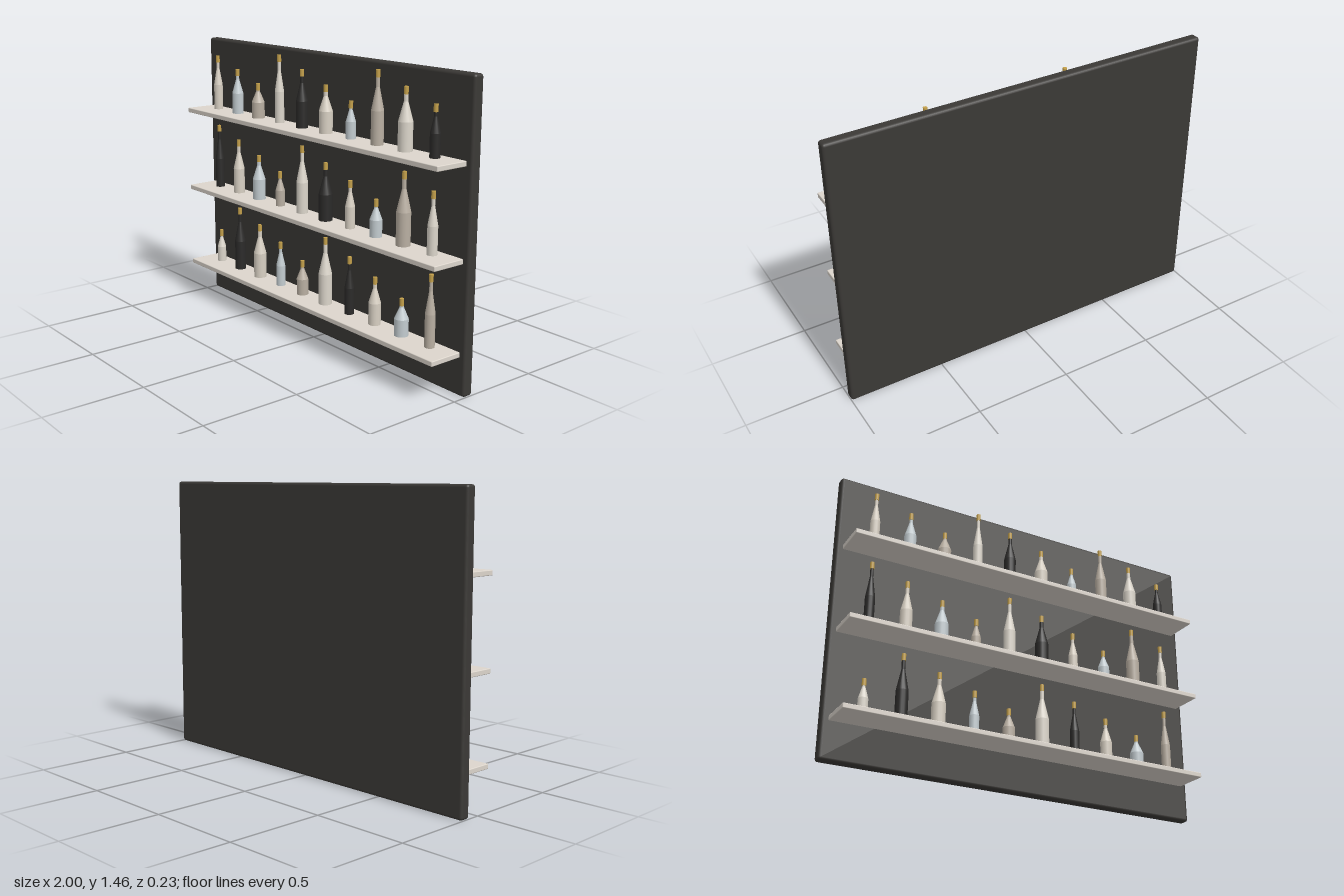
import * as THREE from 'three';
import { RoundedBoxGeometry } from 'three/addons/geometries/RoundedBoxGeometry.js';

const paint = (color) => new THREE.MeshStandardMaterial({ color });

function roundedBox(name, size, radius, position, material) {
  const mesh = new THREE.Mesh(new RoundedBoxGeometry(...size, 2, radius), material);
  mesh.name = name;
  mesh.position.set(...position);
  return mesh;
}

// Straight body, sloping shoulder, slim neck; each band keeps a crisp edge
function makeBottle(height, radius, glass, gold) {
  const bottle = new THREE.Group();
  bottle.name = 'bottle';
  const neckRadius = Math.max(0.008, radius * 0.3);
  const capHeight = 0.035;
  const shoulderY = height * 0.46;
  const neckY = height * 0.77;
  const capY = height - capHeight;

  const band = (name, top, bottom, y0, y1, material, open = false) => {
    const mesh = new THREE.Mesh(new THREE.CylinderGeometry(top, bottom, y1 - y0, 16, 1, open), material);
    mesh.name = name;
    mesh.position.y = (y0 + y1) / 2;
    bottle.add(mesh);
  };
  band('body', radius, radius, 0, shoulderY, glass);
  band('shoulder', neckRadius, radius, shoulderY, neckY, glass, true);
  band('neck', neckRadius, neckRadius, neckY, capY + 0.002, glass);
  band('cap', 0.0105, 0.0105, capY, height, gold);
  return bottle;
}

export function createModel() {
  const group = new THREE.Group();
  group.name = 'bottleDisplay';
  const shelfPaint = paint(0xdcd5cc);
  const gold = paint(0xc4a04a);
  const glass = [0xdcd6cb, 0x2b2a29, 0xd8d0c3, 0xc3ccd0, 0xb9afa2].map(paint);
  const heights = [0.18, 0.345, 0.29, 0.235];
  const radii = [0.024, 0.03, 0.034];

  // Back panel
  group.add(roundedBox('backPanel', [2, 1.455, 0.056], 0.014, [0, 0.7275, -0.087], paint(0x3b3936)));

  // Shelves, each with ten bottles; sizes and colours step along from row to row
  [0.21, 0.645, 1.082].forEach((shelfTop, row) => {
    group.add(roundedBox('shelf', [1.934, 0.025, 0.18], 0.004, [0, shelfTop - 0.0125, 0.025], shelfPaint));
    for (let i = 0; i < 10; i++) {
      const bottle = makeBottle(heights[(i + row) % 4], radii[i % 3], glass[(i + row) % 5], gold);
      bottle.position.set((i - 4.5) * 0.1857, shelfTop, 0);
      group.add(bottle);
    }
  });
  return group;
}
